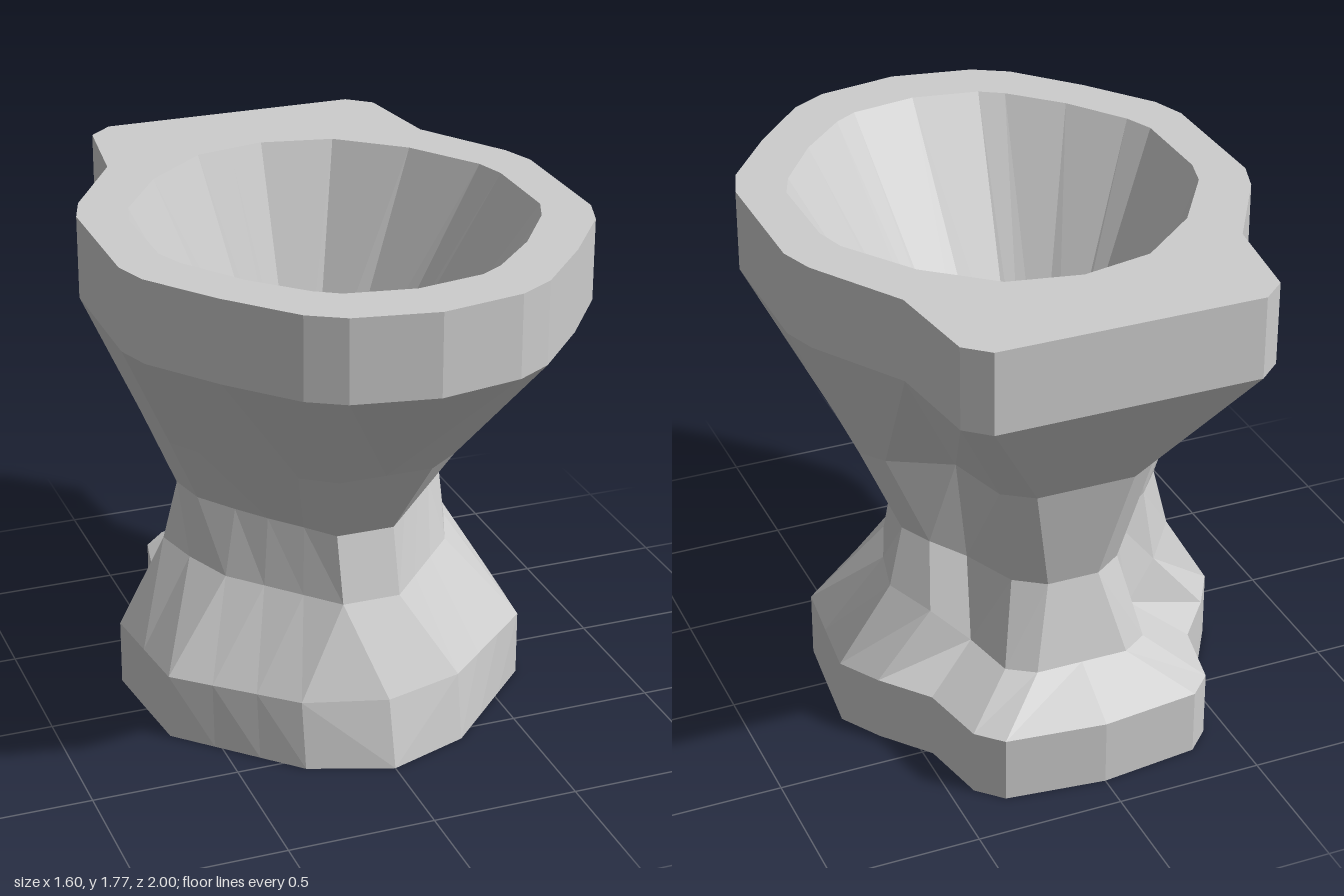
import * as THREE from 'three';

// Half outlines on the +x side, running from the front centre to the back centre: [x, z, (own y)]
const ring = (y, pts) => pts.map(([x, z, py = y]) => new THREE.Vector3(x, py, z));
const centre = (y, z) => ring(y, Array(12).fill([0, z]));

const floorPts = [[0, 0.66], [0.28, 0.56], [0.4, 0.44], [0.52, 0.32], [0.64, 0.2], [0.663, -0.01],
  [0.685, -0.22], [0.6, -0.36], [0.47, -0.52], [0.42, -0.76], [0.34, -0.84], [0, -0.88]];
const footPts = [[0, 0.6], [0.28, 0.52], [0.4, 0.413], [0.52, 0.307], [0.64, 0.2], [0.663, -0.01],
  [0.685, -0.22], [0.6, -0.36], [0.47, -0.52], [0.42, -0.76], [0.34, -0.84], [0, -0.88]];
const anklePts = [[0, 0.43], [0.1, 0.43], [0.2, 0.32], [0.3, 0.21], [0.4, 0.1], [0.47, -0.08],
  [0.51, -0.25], [0.41, -0.36, 0.46], [0.29, -0.42, 0.35], [0.25, -0.62, 0.35], [0.16, -0.68, 0.35], [0, -0.68, 0.35]];
const waistPts = [[0, 0.37], [0.1, 0.37], [0.18, 0.27], [0.27, 0.165], [0.35, 0.06], [0.44, -0.07],
  [0.46, -0.24, 0.73], [0.39, -0.31, 0.7], [0.27, -0.34, 0.63], [0.19, -0.53, 0.63], [0.09, -0.6, 0.63], [0, -0.6, 0.63]];
const bellyPts = [[0, 0.55], [0.16, 0.55], [0.27, 0.47], [0.4, 0.33], [0.51, 0.17], [0.575, 0.07],
  [0.59, -0.21], [0.53, -0.29], [0.33, -0.4], [0.27, -0.62], [0.17, -0.69], [0, -0.69]];
const rimPts = [[0, 1], [0.28, 0.95], [0.4, 0.88], [0.59, 0.67], [0.76, 0.44], [0.8, 0.32],
  [0.8, -0.16], [0.76, -0.28], [0.57, -0.59], [0.525, -0.93], [0.445, -1], [0, -1]];
const mouthPts = [[0, 0.8], [0.23, 0.76], [0.31, 0.71], [0.47, 0.55], [0.61, 0.35], [0.65, 0.25],
  [0.65, -0.07], [0.62, -0.18], [0.46, -0.42], [0.245, -0.6], [0.122, -0.625], [0, -0.65]];
const drainPts = [[0, 0.09], [0.08, 0.075], [0.1, 0.06], [0.15, 0.02], [0.185, -0.04], [0.19, -0.06],
  [0.19, -0.17], [0.18, -0.2], [0.14, -0.27], [0.075, -0.315], [0.037, -0.322], [0, -0.33]];

// Skin a run of half rings and mirror it across x = 0
function loft(name, rings, material) {
  const out = [];
  const tri = (a, b, c) => {
    const area = b.clone().sub(a).cross(c.clone().sub(a)).length();
    if (area < 1e-7) return;
    for (const p of [a, b, c]) out.push(p.x, p.y, p.z);
    for (const p of [a, c, b]) out.push(-p.x, p.y, p.z);
  };
  for (let r = 0; r < rings.length - 1; r++) {
    const A = rings[r], B = rings[r + 1];
    for (let i = 0; i < A.length - 1; i++) {
      tri(A[i], A[i + 1], B[i + 1]);
      tri(A[i], B[i + 1], B[i]);
    }
  }
  const geometry = new THREE.BufferGeometry();
  geometry.setAttribute('position', new THREE.Float32BufferAttribute(out, 3));
  geometry.computeVertexNormals();
  const mesh = new THREE.Mesh(geometry, material);
  mesh.name = name;
  return mesh;
}

export function createModel() {
  const group = new THREE.Group();
  group.name = 'toiletBowl';
  const ceramic = new THREE.MeshStandardMaterial({ color: 0xcccccc });
  ceramic.name = 'greyCeramic';

  const foot = ring(0.23, footPts);
  const waist = ring(0.745, waistPts);
  const rimLow = ring(1.49, rimPts), rimTop = ring(1.77, rimPts);
  const mouth = ring(1.77, mouthPts), drain = ring(0.9, drainPts);

  group.add(
    // Foot with its closed underside
    loft('foot', [centre(0, -0.2), ring(0, floorPts), foot], ceramic),
    // Pedestal narrowing up to the waist
    loft('pedestal', [foot, ring(0.52, anklePts), waist], ceramic),
    // Flaring outer body
    loft('outerBowl', [waist, ring(1.03, bellyPts), rimLow], ceramic),
    // Upright rim band and flat top
    loft('rim', [rimLow, rimTop, mouth], ceramic),
    // Hollow basin and its floor
    loft('basin', [mouth, drain, centre(0.9, -0.12)], ceramic),
  );
  return group;
}
